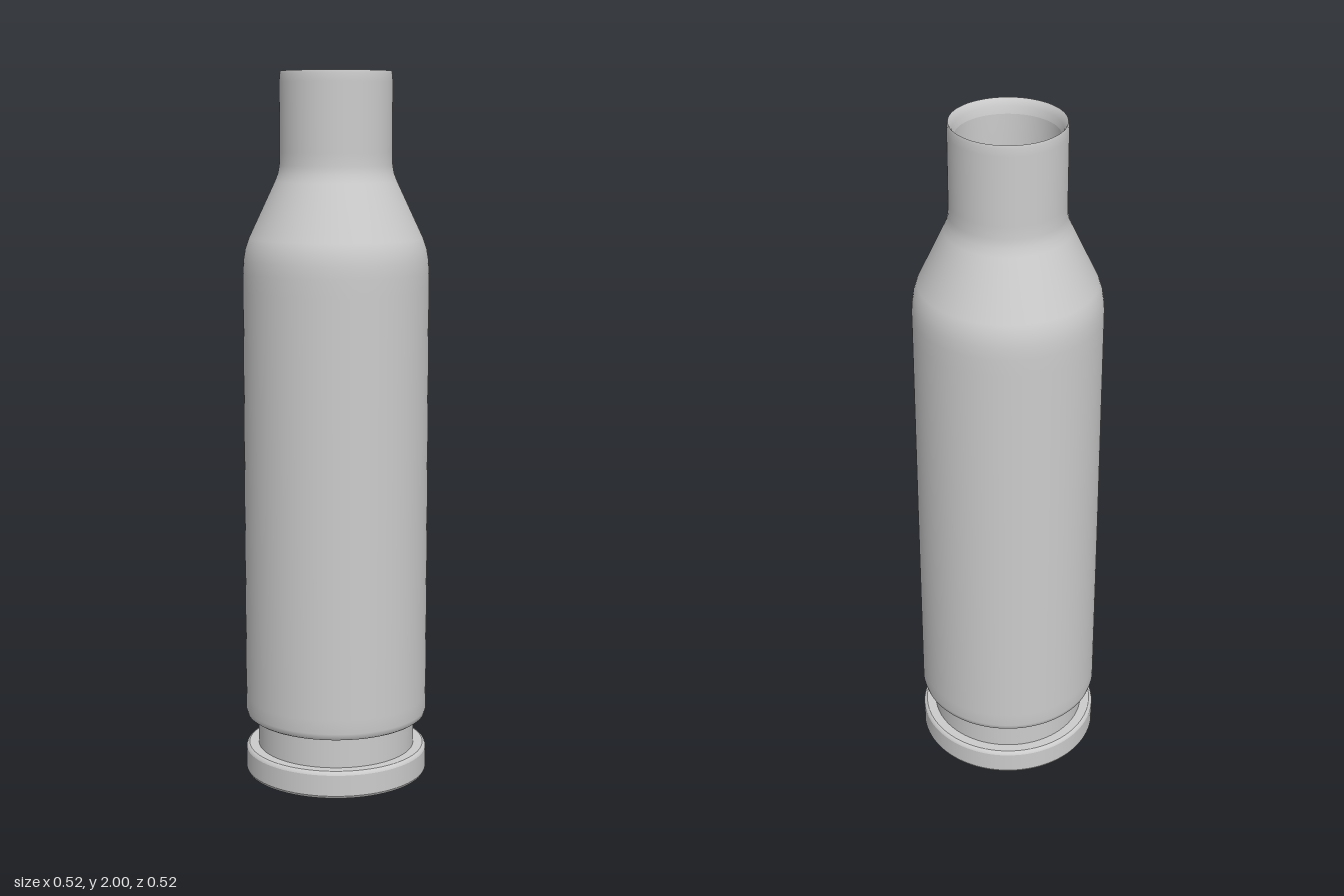
import * as THREE from 'three';

const SEGMENTS = 96;
const material = new THREE.MeshStandardMaterial({ color: 0xcccccc });

// A turned part: each profile is smooth in itself, with a sharp edge between profiles.
// Profiles run from the base centre outward, up the outside and down the inside.
function turned(name, ...profiles) {
  const part = new THREE.Group();
  part.name = name;
  profiles.forEach((profile, i) => {
    const points = profile.map(([r, y]) => new THREE.Vector2(r, y));
    const mesh = new THREE.Mesh(new THREE.LatheGeometry(points, SEGMENTS), material);
    mesh.name = `${name}Surface${i + 1}`;
    part.add(mesh);
  });
  return part;
}

export function createModel() {
  const model = new THREE.Group();
  model.name = 'cartridgeCase';

  model.add(
    // recessed centre cap with a round dent
    turned('baseCap',
      [[0, 0.055], [0.03, 0.052], [0.06, 0.041], [0.077, 0.03], [0.088, 0.025]],
      [[0.088, 0.025], [0.142, 0.025]],
      [[0.142, 0.025], [0.151, 0.028], [0.156, 0.035], [0.157, 0.05]]),

    // groove around the cap and the flat underside
    turned('basePocket',
      [[0.157, 0.05], [0.172, 0.05]],
      [[0.172, 0.05], [0.172, 0.008]],
      [[0.172, 0.008], [0.18, 0]],
      [[0.18, 0], [0.252, 0]]),

    // foot rim
    turned('rim',
      [[0.252, 0], [0.258, 0.003], [0.261, 0.01]],
      [[0.261, 0.01], [0.261, 0.07]],
      [[0.261, 0.07], [0.258, 0.077], [0.252, 0.08]],
      [[0.252, 0.08], [0.225, 0.08]]),

    // narrow groove above the rim
    turned('extractorGroove',
      [[0.225, 0.08], [0.225, 0.17]],
      [[0.225, 0.17], [0.25, 0.17]]),

    // body, shoulder and neck in one smooth sweep
    turned('body',
      [[0.25, 0.17], [0.257, 0.175], [0.261, 0.19], [0.261, 0.23], [0.261, 0.8],
        [0.26, 1.4], [0.26, 1.45], [0.258, 1.485], [0.253, 1.515], [0.243, 1.545],
        [0.17, 1.7], [0.161, 1.723], [0.157, 1.745], [0.156, 1.78], [0.156, 1.97],
        [0.155, 1.992], [0.153, 2]]),

    // rounded lip sloping into the mouth
    turned('lip',
      [[0.153, 2], [0.148, 1.993], [0.142, 1.98], [0.138, 1.96]]),

    // hollow inside with a gently domed floor
    turned('interior',
      [[0.138, 1.96], [0.138, 1.74], [0.145, 1.71], [0.225, 1.54], [0.238, 1.5],
        [0.242, 1.44], [0.242, 0.3], [0.235, 0.24]],
      [[0.235, 0.24], [0.18, 0.27], [0.12, 0.29], [0.06, 0.302], [0, 0.306]]),
  );
  return model;
}
